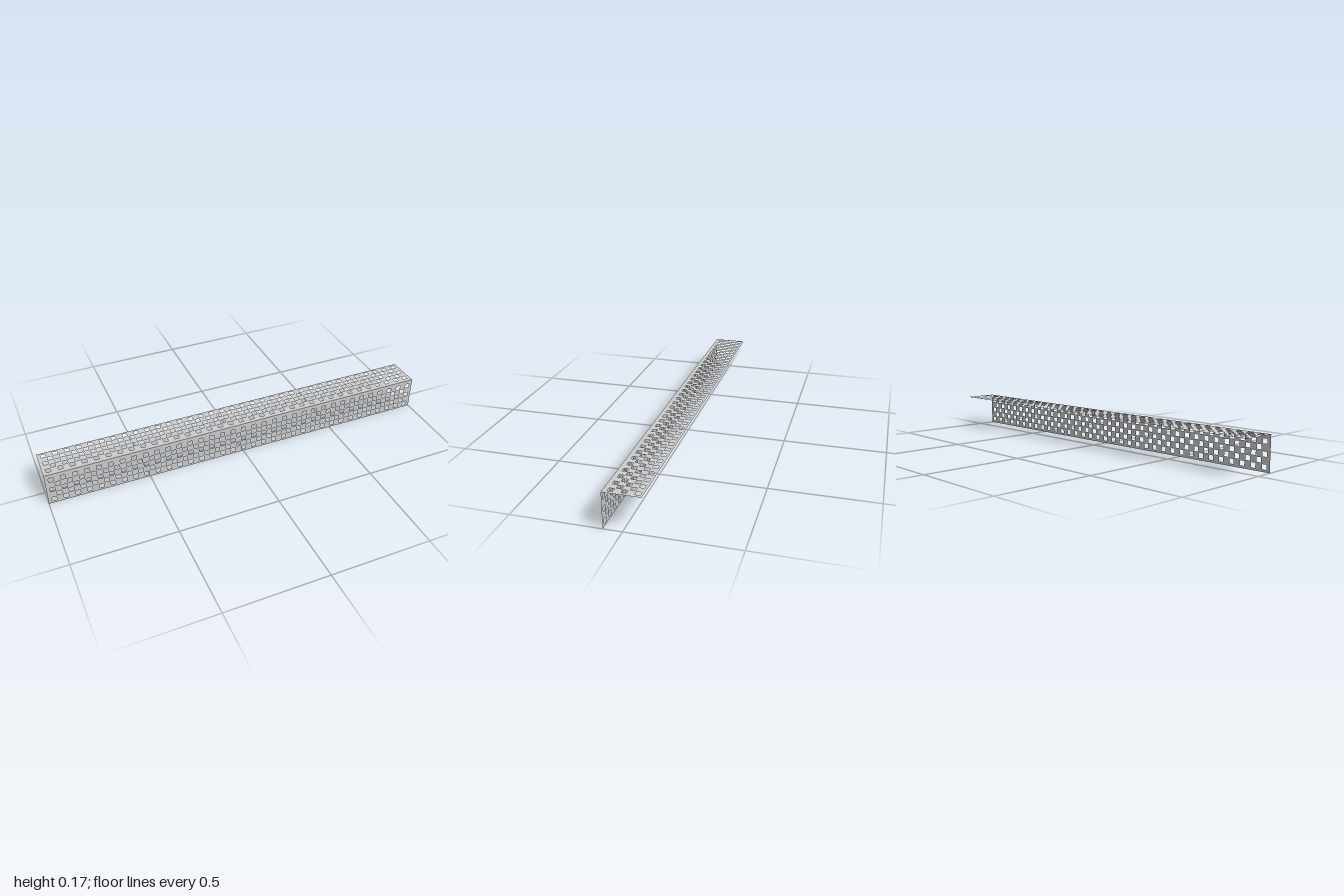
import * as THREE from 'three';

const LENGTH = 2, WIDTH = 0.17, COLS = 35, ROWS = 5;
const PITCH = LENGTH / COLS;      // hole spacing along a row
const ROW_STEP = PITCH / 2;       // spacing between staggered rows
const HOLE = 0.0229;              // side of a square hole
const FREE_MARGIN = 0.0231;       // free edge to the first row's centre

// Trace a rectangle centred on (x, y)
function rect(path, x, y, w, h) {
  path.moveTo(x - w / 2, y - h / 2);
  path.lineTo(x + w / 2, y - h / 2);
  path.lineTo(x + w / 2, y + h / 2);
  path.lineTo(x - w / 2, y + h / 2);
  path.closePath();
  return path;
}

// Thin sheet with staggered square holes; its free edge lies on y = 0
function perforatedSheet() {
  const shape = rect(new THREE.Shape(), 0, WIDTH / 2, LENGTH, WIDTH);
  for (let r = 0; r < ROWS; r++) {
    const odd = r % 2;
    for (let c = 0; c < COLS - odd; c++) {
      const x = -LENGTH / 2 + (c + 0.5 + odd / 2) * PITCH;
      shape.holes.push(rect(new THREE.Path(), x, FREE_MARGIN + r * ROW_STEP, HOLE, HOLE));
    }
  }
  return new THREE.ShapeGeometry(shape);
}

export function createModel() {
  const group = new THREE.Group();
  group.name = 'perforatedAngleProfile';
  const material = new THREE.MeshStandardMaterial({ color: 0xcccccc, side: THREE.DoubleSide });

  // Upright flange at the front
  const front = new THREE.Mesh(perforatedSheet(), material);
  front.name = 'frontFlange';
  front.position.z = WIDTH / 2;

  // Flat flange running back from the top edge, its free edge at the rear
  const top = new THREE.Mesh(perforatedSheet().rotateX(Math.PI / 2), material);
  top.name = 'topFlange';
  top.position.set(0, WIDTH, -WIDTH / 2);

  group.add(front, top);
  return group;
}
